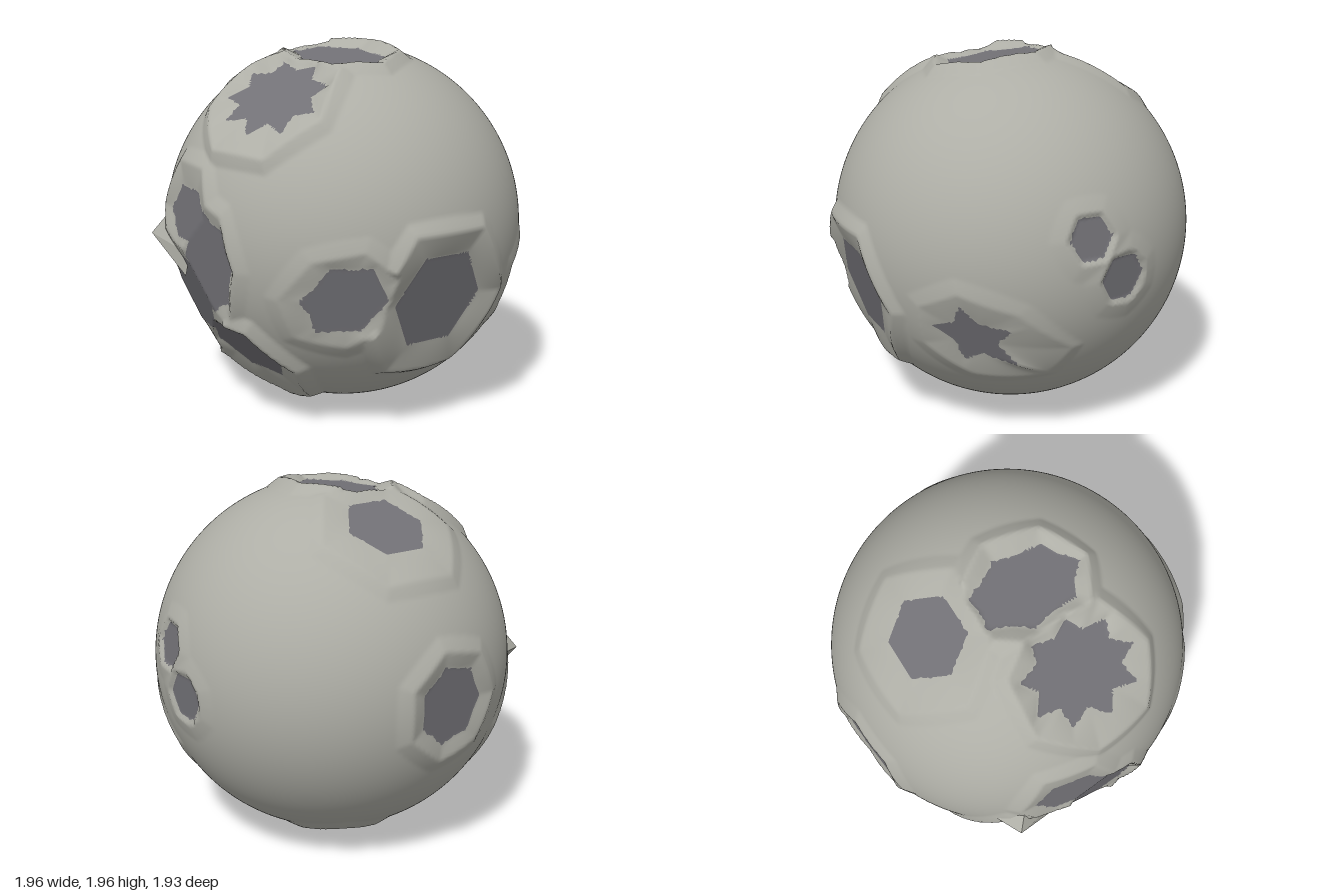
import * as THREE from 'three';
import { mergeVertices } from 'three/addons/utils/BufferGeometryUtils.js';
import { ConvexGeometry } from 'three/addons/geometries/ConvexGeometry.js';

const R = 0.965, CY = 0.985, UP = Math.PI / 2;

// Sides of the ball: two coordinates from its centre, and the depth on the sphere
const sides = {
  front: (a, b, d) => [a, b, d],
  back: (a, b, d) => [a, b, -d],
  right: (a, b, d) => [d, b, a],
  left: (a, b, d) => [-d, b, a],
  top: (a, b, d) => [a, d, b],
  bottom: (a, b, d) => [a, -d, b],
};
const lift = (side, a, b) =>
  new THREE.Vector3(...sides[side](a, b, Math.sqrt(Math.max(0, R * R - a * a - b * b)))).normalize();

// Polygon or star with its tips on an ellipse
function outline(a, b, ra, rb, tips, notch, turn) {
  const count = notch ? tips * 2 : tips;
  return Array.from({ length: count }, (_, i) => {
    const angle = turn + (i / count) * Math.PI * 2;
    const k = notch && i % 2 ? 1 - notch : 1;
    return [a + Math.cos(angle) * ra * k, b + Math.sin(angle) * rb * k];
  });
}

// Crater: centre, floor radii, rim radii, tips and notch depth of the floor, lip height
function crater(side, [a, b], [fa, fb], [ma, mb], tips, notch, lip, turn = 0) {
  const c = lift(side, a, b);
  const e1 = new THREE.Vector3(0, 1, 0).cross(c).normalize();
  const e2 = c.clone().cross(e1);
  const flatten = ([x, y]) => {
    const p = lift(side, x, y);
    return [p.dot(e1) / p.dot(c), p.dot(e2) / p.dot(c)];
  };
  const floor = outline(a, b, fa, fb, tips, notch, turn).map(flatten);
  const rim = outline(a, b, ma, mb, notch ? 7 : 6, 0, turn).map(flatten);
  const size = floor.reduce((s, [x, y]) => s + Math.hypot(x, y), 0) / floor.length;
  return { c, e1, e2, floor, rim, lip, plane: R * Math.cos(Math.atan(size)) - lip * 0.8 };
}

const craters = [
  crater('top', [.09, .54], [.32, .23], [.38, .31], 9, .26, .03), // upper front
  crater('top', [.06, .08], [.31, .21], [.34, .29], 7, .15, .03), // crown
  crater('top', [-.47, .01], [.19, .23], [.32, .39], 6, 0, .015, UP), // upper side
  crater('front', [-.17, .13], [.2, .16], [.27, .29], 6, 0, .02), // front, top of three
  crater('front', [.02, -.09], [.21, .28], [.24, .34], 8, .16, .02), // front, middle
  crater('front', [-.28, -.33], [.28, .24], [.42, .39], 6, 0, .02), // front, lowest
  crater('front', [.02, -.62], [.27, .17], [.36, .27], 6, .12, .04), // lower front
  crater('right', [.59, -.2], [.17, .2], [.23, .26], 6, .16, .012), // side, towards the front
  crater('right', [.11, -.25], [.27, .28], [.4, .42], 6, 0, .03), // large side
  crater('right', [-.64, -.33], [.15, .19], [.23, .26], 5, .45, .012, UP), // side, towards the back
  crater('left', [.09, -.03], [.21, .22], [.29, .3], 7, .12, .02), // far side
  crater('back', [.12, .19], [.12, .12], [.14, .14], 6, 0, .01), // back, upper
  crater('back', [-.06, -.04], [.13, .13], [.15, .15], 6, .12, .01), // back, lower
  crater('bottom', [-.27, -.15], [.17, .16], [.24, .23], 6, .25, .02), // underside
];

// Distance from a crater centre to a closed outline along an angle
function reach(poly, angle) {
  const dx = Math.cos(angle), dy = Math.sin(angle);
  let best = 0;
  poly.forEach(([ax, ay], i) => {
    const [bx, by] = poly[(i + 1) % poly.length];
    const ex = bx - ax, ey = by - ay, den = dx * ey - dy * ex;
    if (Math.abs(den) < 1e-9) return;
    const t = (ax * ey - ay * ex) / den, s = (ax * dy - ay * dx) / den;
    if (s >= -1e-6 && s <= 1 + 1e-6 && t > best) best = t;
  });
  return best;
}

// Position of a direction relative to a crater's floor and rim
function locate(cr, dir) {
  const k = dir.dot(cr.c);
  if (k < 0.75) return null;
  const x = dir.dot(cr.e1) / k, y = dir.dot(cr.e2) / k, angle = Math.atan2(y, x);
  const f = reach(cr.floor, angle);
  return { x, y, rho: Math.hypot(x, y), f, m: Math.max(reach(cr.rim, angle), f * 1.08) };
}

// Height of the ground: sunken floors, sloping walls and raised lips
function height(dir) {
  let low = Infinity, high = R;
  for (const cr of craters) {
    const l = locate(cr, dir);
    if (!l) continue;
    const bottom = cr.plane * Math.hypot(1, Math.min(l.rho, l.f));
    if (l.rho < l.m) {
      const t = Math.max(0, (l.rho - l.f) / (l.m - l.f));
      low = Math.min(low, THREE.MathUtils.lerp(bottom, R + cr.lip, t));
    } else high = Math.max(high, R + cr.lip * Math.max(0, 1 - (l.rho - l.m) / 0.1));
  }
  return low < Infinity ? low : high;
}

const onFloor = (dir) => craters.some((cr) => {
  const l = locate(cr, dir);
  return l && l.rho < l.f;
});

export function createModel() {
  const rock = new THREE.MeshStandardMaterial({ color: 0xaeaea6 });
  rock.name = 'pale rock';
  const dust = new THREE.MeshStandardMaterial({ color: 0x727176 });
  dust.name = 'dark dust';
  const group = new THREE.Group();
  group.name = 'moon';

  // Fine sphere, pushed in and out by the craters
  let ball = new THREE.IcosahedronGeometry(1, 70);
  ball.deleteAttribute('uv');
  ball.deleteAttribute('normal');
  ball = mergeVertices(ball, 1e-5);
  const pos = ball.attributes.position;
  const dirs = [];
  for (let i = 0; i < pos.count; i++) {
    const d = new THREE.Vector3().fromBufferAttribute(pos, i).normalize();
    // Pull nearby points onto the floor outline for a clean edge
    for (const cr of craters) {
      const l = locate(cr, d);
      if (!l || Math.abs(l.rho - l.f) > 0.007) continue;
      const s = l.f / l.rho;
      d.copy(cr.c).addScaledVector(cr.e1, l.x * s).addScaledVector(cr.e2, l.y * s).normalize();
      break;
    }
    dirs.push(d);
    const h = height(d);
    pos.setXYZ(i, d.x * h, d.y * h + CY, d.z * h);
  }
  ball.computeVertexNormals();

  // Share the faces out between crater floors and the rest
  const ground = [], floors = [], mid = new THREE.Vector3(), idx = ball.index.array;
  for (let i = 0; i < idx.length; i += 3) {
    const [a, b, c] = [idx[i], idx[i + 1], idx[i + 2]];
    mid.copy(dirs[a]).add(dirs[b]).add(dirs[c]).normalize();
    (onFloor(mid) ? floors : ground).push(a, b, c);
  }
  for (const [name, list, material] of [['ground', ground, rock], ['craterFloors', floors, dust]]) {
    const g = ball.clone();
    g.setIndex(list);
    const mesh = new THREE.Mesh(g, material);
    mesh.name = name;
    group.add(mesh);
  }

  // Jutting ledge between the front craters
  const ledge = new THREE.Mesh(new ConvexGeometry([
    [-.59, .99, .74], [-.49, .96, .93], [-.25, .76, .88], [-.38, .78, .84], [-.22, .88, .87], [-.4, 1.12, .83], [-.4, .95, .78],
  ].map((p) => new THREE.Vector3(...p))), rock);
  ledge.name = 'ledge';
  group.add(ledge);
  return group;
}
